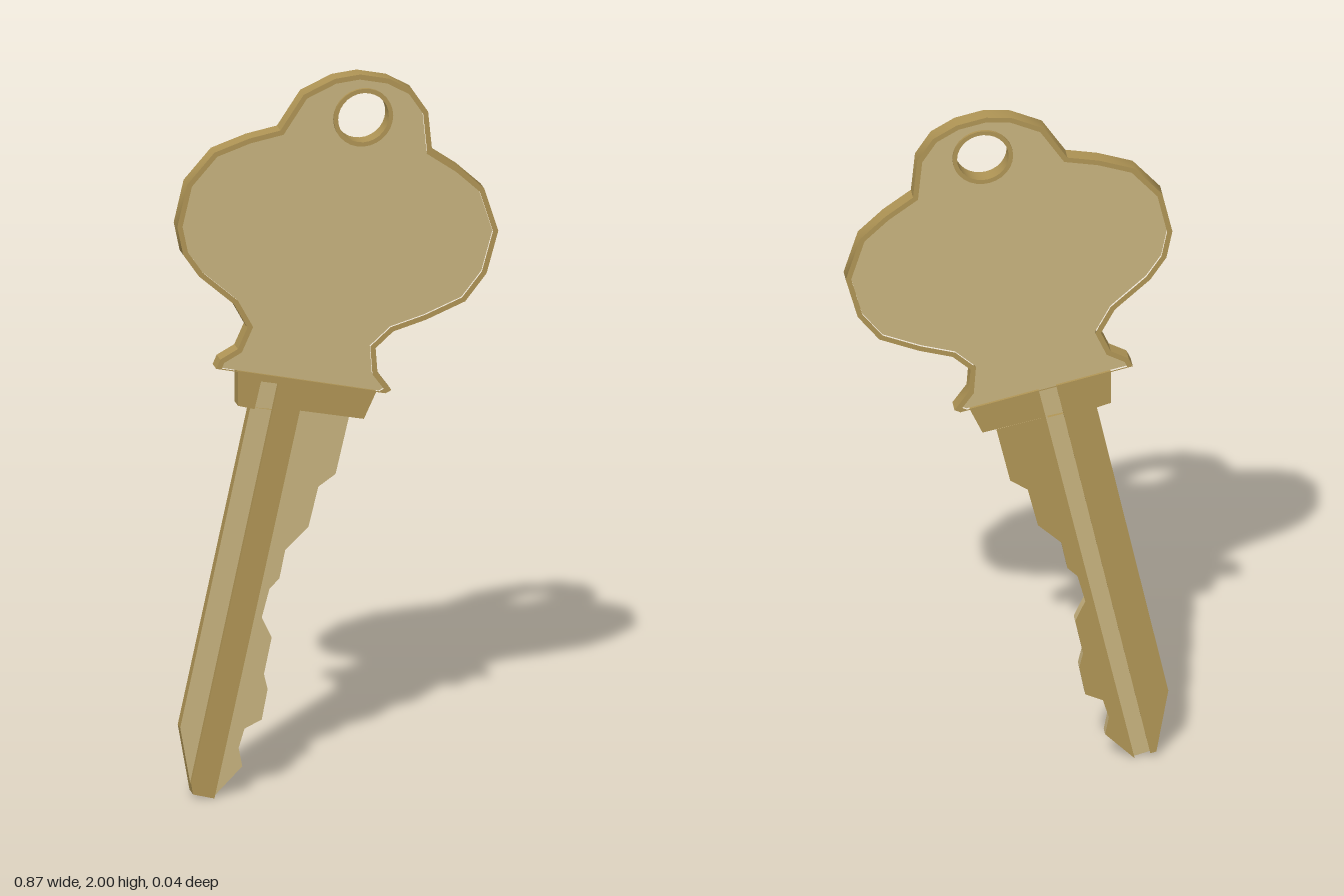
import * as THREE from 'three';
import { toCreasedNormals } from 'three/addons/utils/BufferGeometryUtils.js';

const T = 0.021;      // half thickness of the key
const PANEL = 0.014;  // half thickness of the recessed head panel
const CORE = 0.008;   // half thickness of the milled blade core

const brass = new THREE.MeshStandardMaterial({ color: 0xb09555 });
brass.name = 'brass';
const paleBrass = new THREE.MeshStandardMaterial({ color: 0xc8b37f });
paleBrass.name = 'paleBrass';

const points = (list) => list.map(([x, y]) => new THREE.Vector2(x, y));

// Flat plate between two depths, with separate cap and side colours
function plate(name, outline, z0, z1, cap, side, holes = [], crease = 0) {
  const shape = new THREE.Shape(outline);
  shape.holes = holes.map((h) => new THREE.Path(h));
  let geo = new THREE.ExtrudeGeometry(shape, { depth: z1 - z0, bevelEnabled: false });
  geo.translate(0, 0, z0);
  if (crease) geo = toCreasedNormals(geo, crease);
  const mesh = new THREE.Mesh(geo, [cap, side]);
  mesh.name = name;
  return mesh;
}

// Move each edge of a clockwise outline inwards; the last edge uses its own distance
function inset(outline, d, dLast) {
  const n = outline.length;
  const normal = (i) => {
    const e = outline[(i + 1) % n].clone().sub(outline[i]).normalize();
    return new THREE.Vector2(e.y, -e.x);
  };
  return outline.map((p, i) => {
    const j = (i + n - 1) % n;
    const a = normal(j), b = normal(i);
    const da = j === n - 1 ? dLast : d, db = i === n - 1 ? dLast : d;
    const det = a.x * b.y - a.y * b.x;
    if (Math.abs(det) < 0.05) return p.clone().addScaledVector(a, da);
    return new THREE.Vector2(
      p.x + (da * b.y - db * a.y) / det,
      p.y + (a.x * db - b.x * da) / det
    );
  });
}

const circle = (x, y, r, n = 28) => Array.from({ length: n }, (_, i) => {
  const a = (i / n) * Math.PI * 2;
  return new THREE.Vector2(x + r * Math.cos(a), y + r * Math.sin(a));
});

export function createModel() {
  const key = new THREE.Group();
  key.name = 'key';

  // Head: recessed panel, raised rim and ring around the hole
  const headOutline = points([
    [-0.331, 1.205], [-0.32, 1.23], [-0.272, 1.256], [-0.246, 1.314], [-0.283, 1.383],
    [-0.378, 1.468], [-0.421, 1.532], [-0.437, 1.611], [-0.41, 1.728], [-0.336, 1.812],
    [-0.241, 1.844], [-0.156, 1.86], [-0.093, 1.955], [-0.008, 1.993], [0.061, 2],
    [0.14, 1.982], [0.204, 1.945], [0.246, 1.881], [0.257, 1.77], [0.331, 1.717],
    [0.399, 1.653], [0.437, 1.532], [0.405, 1.415], [0.347, 1.341], [0.241, 1.298],
    [0.151, 1.272], [0.103, 1.229], [0.108, 1.161], [0.146, 1.108], [0.13, 1.1],
  ]);
  const rimInner = inset(headOutline, 0.014, 0.003);
  const head = new THREE.Group();
  head.name = 'head';
  head.add(
    plate('headPanel', rimInner, -PANEL, PANEL, paleBrass, paleBrass, [circle(0.07, 1.878, 0.075)]),
    plate('headRim', headOutline, -T, T, brass, brass, [rimInner], 0.6),
    plate('holeRing', circle(0.07, 1.878, 0.081), -T, T, brass, brass, [circle(0.07, 1.878, 0.069)], 0.6)
  );
  key.add(head);

  // Outline pieces shared by the blade layers
  const collarLeft = [[-0.272, 1.192], [-0.272, 1.097], [-0.235, 1.086]];
  const collarRight = [[0.071, 1.033], [0.105, 1.107]];
  const spine = [[-0.235, 1.086], [-0.426, 0.201], [-0.394, 0.016]];
  const tip = [-0.336, 0];
  const cuts = [
    [-0.257, 0.08], [-0.267, 0.132], [-0.251, 0.185], [-0.204, 0.207], [-0.188, 0.291],
    [-0.198, 0.334], [-0.177, 0.435], [-0.204, 0.493], [-0.183, 0.572], [-0.156, 0.599],
    [-0.14, 0.678], [-0.077, 0.737], [-0.05, 0.848], [-0.003, 0.88], [0.034, 1.04],
  ];

  // Core layer: its faces form the milled areas and groove floors
  const core = new THREE.Group();
  core.name = 'bladeCore';
  core.add(
    plate('collarCore', points([...collarLeft, ...collarRight]), -CORE, CORE, paleBrass, brass),
    plate('spineCore', points([...spine, tip, [-0.103, 1.057]]), -CORE, CORE, paleBrass, brass),
    plate('toothCore', points([tip, ...cuts, [-0.103, 1.069]]), -CORE, CORE, paleBrass, paleBrass)
  );
  key.add(core);

  // Front layer: collar with a groove running into it, and the long raised ridge
  key.add(plate('frontRidge', points([
    ...collarLeft, [-0.2265, 1.084], [-0.209, 1.16], [-0.161, 1.15], [-0.399, 0.045],
    [-0.394, 0.016], tip, [-0.103, 1.07], ...collarRight,
  ]), CORE, T, brass, brass));

  // Back layer: two lands either side of a central groove
  const back = new THREE.Group();
  back.name = 'bladeBack';
  back.add(
    plate('backSpine', points([
      ...collarLeft, ...spine.slice(1), [-0.378, 0.012], [-0.127, 1.159],
    ]), -T, -CORE, brass, brass),
    plate('backTeeth', points([tip, ...cuts, [-0.098, 1.068]]), -T, -CORE, brass, paleBrass),
    plate('backCollar', points([
      [-0.08, 1.148], [-0.098, 1.068], ...collarRight,
    ]), -T, -CORE, brass, brass)
  );
  key.add(back);

  return key;
}
